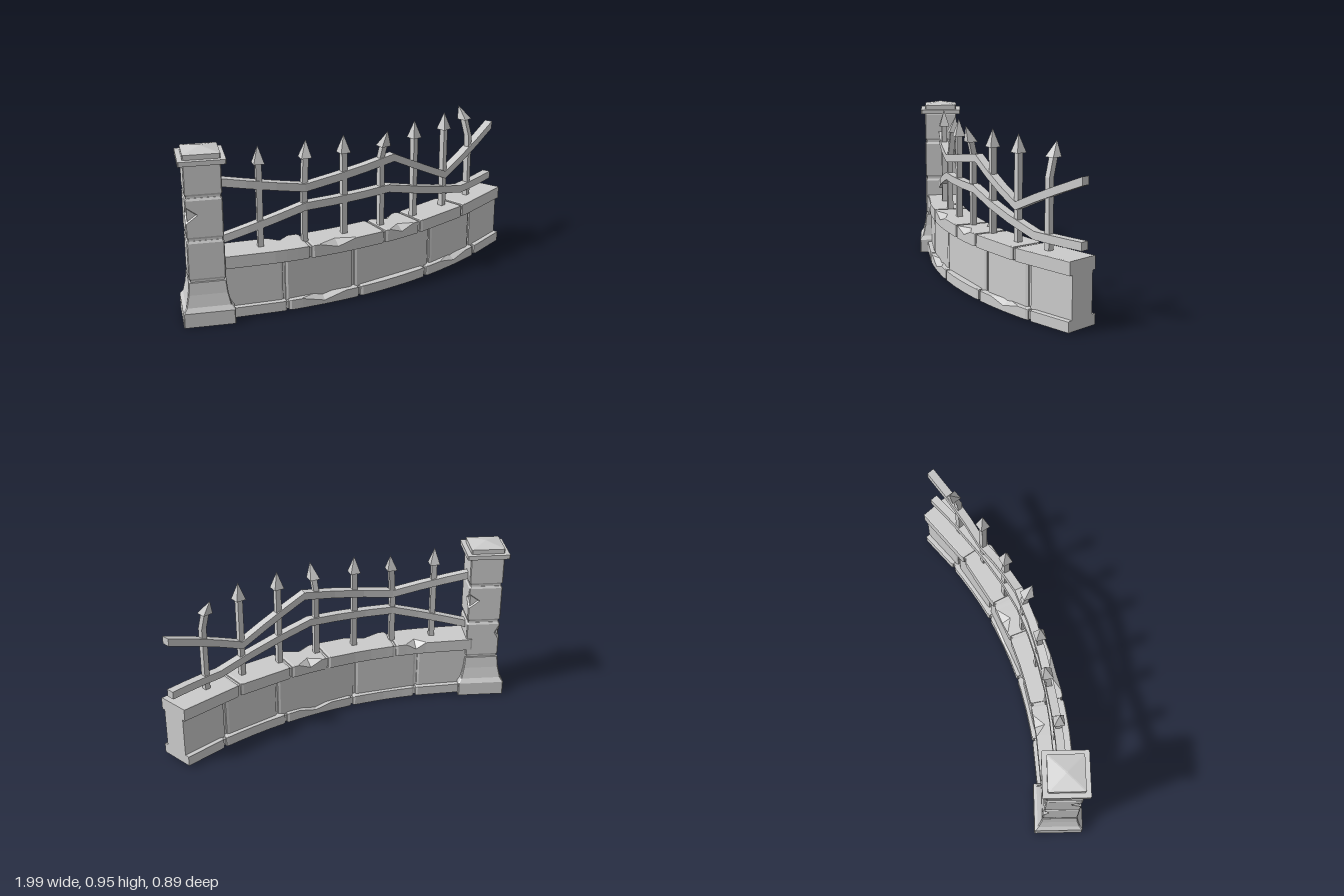
import * as THREE from 'three';

const stone = new THREE.MeshStandardMaterial({ color: 0xcccccc, flatShading: true });

// Plan of the curved wall: z of the centre line for a given x
const planZ = x => 0.305 - 0.193 * (x + 0.75) - 0.264 * (x + 0.75) * (x - 0.13)
  - 0.05 * (x + 0.75) * (x - 0.13) * (x - 0.925);

// Unit normal of the centre line, pointing to the front
function planNormal(x) {
  const s = (planZ(x + 0.001) - planZ(x - 0.001)) / 0.002;
  const l = Math.hypot(1, s);
  return [-s / l, 1 / l];
}

// Closed solid through rings of [x, y, z] points with equal counts
function loft(rings) {
  const n = rings[0].length, last = (rings.length - 1) * n;
  const p = rings.flat(), tris = [];
  for (let r = 0; r < rings.length - 1; r++) {
    for (let i = 0; i < n; i++) {
      const a = r * n + i, b = r * n + (i + 1) % n;
      tris.push([a, b, b + n], [a, b + n, a + n]);
    }
  }
  for (let i = 1; i < n - 1; i++) tris.push([0, i + 1, i], [last, last + i, last + i + 1]);
  // Turn the faces outward whichever way the rings run
  const v = p.map(q => new THREE.Vector3(...q));
  const volume = tris.reduce((s, [a, b, c]) => s + v[a].dot(v[b].clone().cross(v[c])), 0);
  const index = tris.flatMap(([a, b, c]) => (volume < 0 ? [a, c, b] : [a, b, c]));
  const g = new THREE.BufferGeometry();
  g.setAttribute('position', new THREE.Float32BufferAttribute(p.flat(), 3));
  g.setIndex(index);
  const flat = g.toNonIndexed();
  flat.computeVertexNormals();
  return flat;
}

function add(parent, name, geometry) {
  const m = new THREE.Mesh(geometry, stone);
  m.name = name;
  parent.add(m);
  return m;
}

// Wall cross-section at x: front and back top edges cut by cf and cb
function wallRing(x, w, y0, y1, cf = 0.004, cb = 0.004) {
  const [nx, nz] = planNormal(x), z = planZ(x);
  return [[-w, y0], [w, y0], [w, y1 - cf * 0.7], [w - cf, y1], [-w + cb, y1], [-w, y1 - cb * 0.7]]
    .map(([o, y]) => [x + nx * o, y, z + nz * o]);
}

// One row of stones with open joints and chipped edges
function course(parent, name, w, y0, y1, joints, chips) {
  const row = new THREE.Group();
  row.name = name;
  parent.add(row);
  const end = joints.length - 1;
  for (let i = 0; i < end; i++) {
    const a = joints[i] + (i ? 0.007 : 0), b = joints[i + 1] - (i < end - 1 ? 0.007 : 0);
    const rings = [wallRing(a, w - 0.006, y0, y1 - 0.003), wallRing(a + 0.012, w, y0, y1)];
    for (const c of chips.filter(c => c.x > a && c.x < b)) {
      rings.push(wallRing(c.x - c.r, w, y0, y1),
        wallRing(c.x, w, y0, y1, c.front, c.back),
        wallRing(c.x + c.r, w, y0, y1));
    }
    if (i < end - 1) rings.push(wallRing(b - 0.012, w, y0, y1), wallRing(b, w - 0.006, y0, y1 - 0.003));
    else rings.push(wallRing(b, w, y0, y1));
    add(row, name + 'Stone', loft(rings));
  }
  // Mortar showing in the joints
  for (const x of joints.slice(1, -1)) {
    add(row, name + 'Joint', loft([-0.02, 0.02].map(d => wallRing(x + d, w - 0.014, y0 + 0.004, y1 - 0.01))));
  }
}

// Square bar following the wall, its height given by [x, y] kinks
function rail(parent, name, kinks) {
  const rings = [];
  kinks.forEach(([x, y], k) => {
    if (!k) return;
    const [px, py] = kinks[k - 1];
    for (let i = k > 1 ? 1 : 0; i <= 3; i++) {
      const t = i / 3, rx = px + (x - px) * t, ry = py + (y - py) * t;
      const [nx, nz] = planNormal(rx);
      rings.push([[-1, -1], [1, -1], [1, 1], [-1, 1]].map(([o, u]) =>
        [rx + nx * o * 0.023, ry + u * 0.022, planZ(rx) + nz * o * 0.023]));
    }
  });
  add(parent, name, loft(rings));
}

// Square post with a pointed head; bend is the height where it starts to lean
function spike(parent, x, { bend = 0.6, head = [0, 0.825, 0], tip = [0, 0.92, 0] } = {}) {
  const [nx, nz] = planNormal(x), z = planZ(x);
  const ring = ([dx, y, dz], r) => [[-1, -1], [1, -1], [1, 1], [-1, 1]].map(([a, b]) =>
    [x + dx + r * (a * nz + b * nx), y, z + dz + r * (b * nz - a * nx)]);
  const g = new THREE.Group();
  g.name = 'spike';
  add(g, 'post', loft([ring([0, 0.34, 0], 0.0155), ring([0, bend, 0], 0.0155), ring(head, 0.0155)]));
  add(g, 'spearhead', loft([ring(head, 0.029), ring(tip, 0.0008)]));
  parent.add(g);
}

// Square pillar ring with cut corners; cuts run (+x+z), (-x+z), (-x-z), (+x-z)
function squareRing(y, h, cuts = [0, 0, 0, 0]) {
  const c = cuts.map(v => v || 0.005);
  return [[h, h - c[0]], [h - c[0], h], [c[1] - h, h], [-h, h - c[1]],
    [-h, c[2] - h], [c[2] - h, -h], [h - c[3], -h], [h, c[3] - h]].map(([x, z]) => [x, y, z]);
}

function pillar() {
  const g = new THREE.Group();
  g.name = 'pillar';
  add(g, 'plinth', loft([[0, 0.136], [0.08, 0.136], [0.105, 0.119], [0.17, 0.105], [0.237, 0.098]]
    .map(([y, h]) => squareRing(y, h))));
  add(g, 'core', new THREE.BoxGeometry(0.176, 0.7, 0.176)).position.y = 0.53;
  // Shaft stones, the middle one with two broken corners
  const stones = [
    { y0: 0.247, y1: 0.467, chip: 0.4, cuts: [0, 0, 0.03, 0] },
    { y0: 0.478, y1: 0.7, chip: 0.61, cuts: [0, 0.065, 0, 0.065] },
    { y0: 0.711, y1: 0.885, chip: 0.8, cuts: [0, 0, 0, 0] },
  ];
  for (const { y0, y1, chip, cuts } of stones) {
    add(g, 'shaftStone', loft([
      squareRing(y0, 0.09), squareRing(y0 + 0.012, 0.097),
      squareRing(chip - 0.045, 0.097), squareRing(chip, 0.097, cuts), squareRing(chip + 0.045, 0.097),
      squareRing(y1 - 0.012, 0.097), squareRing(y1, 0.09),
    ]));
  }
  add(g, 'capSlab', loft([squareRing(0.88, 0.122), squareRing(0.905, 0.122)]));
  add(g, 'capRoof', loft([squareRing(0.9, 0.096), squareRing(0.931, 0.096), squareRing(0.95, 0.006)]));
  g.position.set(-0.862, 0, 0.315);
  return g;
}

export function createModel() {
  const model = new THREE.Group();
  model.name = 'brokenCemeteryFence';
  model.add(pillar());

  // Wall in three courses
  course(model, 'footing', 0.1, 0.01, 0.068, [-0.8, -0.45, -0.05, 0.36, 0.72, 0.925], [
    { x: -0.25, r: 0.12, front: 0.05 }, { x: 0.18, r: 0.1, back: 0.04 }, { x: 0.56, r: 0.09, front: 0.04 },
  ]);
  course(model, 'wall', 0.075, 0.05, 0.3, [-0.8, -0.46, -0.075, 0.4, 0.7, 0.925], []);
  course(model, 'coping', 0.094, 0.292, 0.363, [-0.8, -0.32, 0.1, 0.32, 0.62, 0.925], [
    { x: -0.45, r: 0.06, back: 0.055 }, { x: -0.17, r: 0.1, front: 0.045 },
    { x: 0.205, r: 0.07, front: 0.045, back: 0.05 },
  ]);

  // Bent iron rails
  rail(model, 'upperRail', [[-0.79, 0.75], [-0.32, 0.665], [0.2, 0.745], [0.555, 0.552], [0.932, 0.743]]);
  rail(model, 'lowerRail', [[-0.79, 0.425], [-0.32, 0.56], [0.17, 0.572], [0.68, 0.425], [0.932, 0.425]]);

  // Upright spikes, three of them leaning
  for (const x of [-0.565, -0.095, 0.345, 0.555]) spike(model, x);
  spike(model, -0.322, { bend: 0.65, head: [0.012, 0.822, -0.02], tip: [0.02, 0.912, -0.035] });
  spike(model, 0.13, { bend: 0.76, head: [0.01, 0.825, 0.013], tip: [0.026, 0.912, 0.04] });
  spike(model, 0.75, { bend: 0.73, head: [-0.02, 0.828, -0.02], tip: [-0.05, 0.905, -0.04] });
  return model;
}
